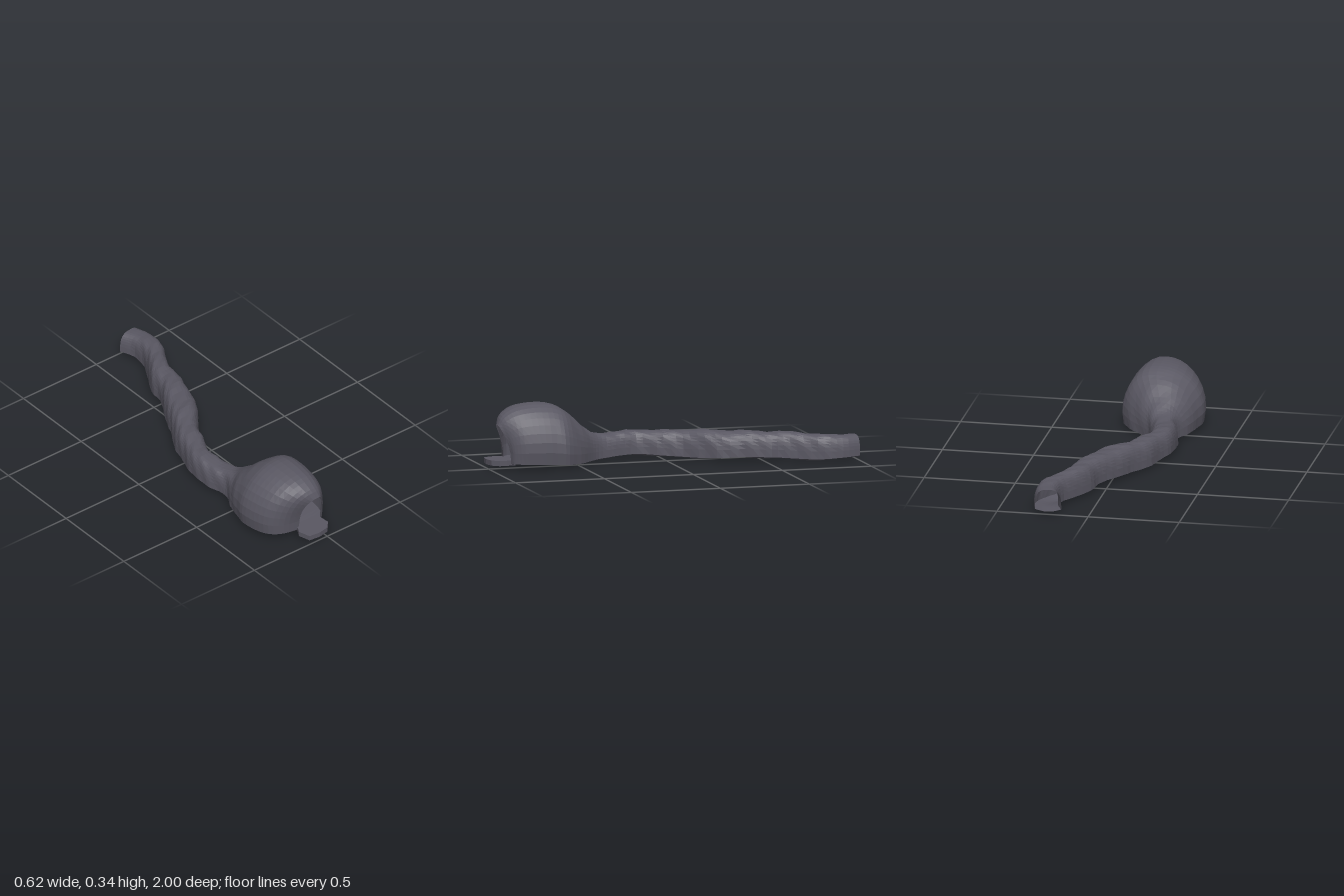
import * as THREE from 'three';

// Stations from the doorway to the tunnel end:
// right edge x, left edge x, z, height of crown, roundness (1 = ellipse, lower = boxier), forward lean of crown
const stations = [
  [-0.105, 0.04, 0.885, 0.235, 0.75, 0.06],
  [-0.2, 0.075, 0.868, 0.285, 0.85, 0.05],
  [-0.275, 0.11, 0.82, 0.325, 0.9, 0.03],
  [-0.31, 0.13, 0.74, 0.34, 0.9, 0.01],
  [-0.32, 0.14, 0.65, 0.335, 0.9, 0],
  [-0.3, 0.138, 0.58, 0.305, 0.9, 0],
  [-0.265, 0.075, 0.5, 0.245, 0.85, 0],
  [-0.225, -0.015, 0.42, 0.175, 0.75, 0],
  [-0.212, -0.06, 0.36, 0.143, 0.65, 0],
  [-0.235, -0.09, 0.28, 0.142, 0.65, 0],
  [-0.245, -0.105, 0.2, 0.145, 0.65, 0],
  [-0.232, -0.1, 0.1, 0.148, 0.65, 0],
  [-0.2, -0.05, 0, 0.148, 0.65, 0],
  [-0.165, -0.01, -0.1, 0.15, 0.65, 0],
  [-0.115, 0.065, -0.2, 0.157, 0.65, 0],
  [-0.07, 0.125, -0.28, 0.155, 0.65, 0],
  [-0.015, 0.155, -0.4, 0.157, 0.65, 0],
  [0.045, 0.195, -0.5, 0.154, 0.65, 0],
  [0.06, 0.2, -0.6, 0.152, 0.65, 0],
  [0.12, 0.25, -0.7, 0.148, 0.65, 0],
  [0.17, 0.3, -0.8, 0.143, 0.65, 0],
  [0.185, 0.315, -0.9, 0.138, 0.65, 0],
  [0.15, 0.292, -0.992, 0.135, 0.65, 0],
];
const STEPS = 66, ARC = 18, FLOOR = 6;

const curveOf = (cols) => new THREE.CatmullRomCurve3(
  stations.map((s) => new THREE.Vector3(...cols.map((c) => s[c]))), false, 'catmullrom', 0.5);
const plan = curveOf([0, 1, 2]), section = curveOf([3, 4, 5]);

// Ground level along the edge, gently uneven
const edgeY = (z) => 0.02 + 0.006 * Math.sin(z * 11) + (z > 0.75 ? (z - 0.75) * 0.08 : 0);

// One arch point: f runs 0..1 from the left foot over the crown to the right foot
function archPoint(u, f) {
  const p = plan.getPoint(u), s = section.getPoint(u);
  const base = edgeY(p.z), a = f * Math.PI;
  const cos = Math.cos(a), rise = Math.pow(Math.max(Math.sin(a), 0), s.y);
  let x = Math.sign(cos) * Math.pow(Math.abs(cos), s.y);
  // The chamber tucks in at its foot and its crown sits a little to the left
  const chamber = THREE.MathUtils.clamp((s.x - 0.16) / 0.17, 0, 1);
  x *= 1 - 0.09 * chamber * Math.pow(1 - rise, 4);
  x += 0.12 * chamber * rise * rise * (1 - x * x);
  // Rocky undulation, fading out at the ends
  const rough = (1 - chamber) * Math.min(1, (1 - u) * 12);
  const bump = 1 + rough * (0.035 * Math.sin(p.z * 31 + f * 5) + 0.025 * Math.sin(p.z * 67 - f * 17));
  const half = (p.y - p.x) / 2;
  return new THREE.Vector3(
    (p.x + p.y) / 2 + half * x * bump,
    base + (s.x - base) * rise * (1 + (bump - 1) * 0.6),
    p.z + s.z * rise * rise - 0.008 * x * THREE.MathUtils.smoothstep(u, 0.95, 1));
}

// Floor point, sagging slightly between the two feet
function floorPoint(u, f) {
  const p = archPoint(u, 0).lerp(archPoint(u, 1), f);
  p.y -= Math.sin(f * Math.PI) * (0.012 + 0.003 * Math.sin(p.z * 23));
  return p;
}

function sheet(pointAt, columns, flip) {
  const pos = [], index = [], row = columns + 1;
  for (let i = 0; i <= STEPS; i++) {
    for (let j = 0; j <= columns; j++) pos.push(...pointAt(i / STEPS, j / columns).toArray());
  }
  for (let i = 0; i < STEPS; i++) {
    for (let j = 0; j < columns; j++) {
      const a = i * row + j, b = a + 1, c = a + row, d = c + 1;
      if (flip) index.push(a, b, c, b, d, c);
      else index.push(a, c, b, b, c, d);
    }
  }
  const g = new THREE.BufferGeometry();
  g.setAttribute('position', new THREE.Float32BufferAttribute(pos, 3));
  g.setIndex(index);
  g.computeVertexNormals();
  return g;
}

export function createModel() {
  const group = new THREE.Group();
  group.name = 'caveWithTunnel';
  const rock = new THREE.MeshStandardMaterial({ color: 0x595762, flatShading: true, side: THREE.DoubleSide });
  const add = (name, geometry) => {
    const mesh = new THREE.Mesh(geometry, rock);
    mesh.name = name;
    group.add(mesh);
  };

  // Domed chamber running into the winding tunnel, open at both ends
  add('chamberAndTunnelShell', sheet(archPoint, ARC, false));
  add('floor', sheet(floorPoint, FLOOR, true));

  // Doorstep slab projecting from the entrance
  const outline = [[-0.1, 0.86], [-0.135, 0.925], [-0.115, 0.992], [-0.05, 1], [0.01, 0.988],
    [0.045, 0.95], [0.042, 0.91], [0.035, 0.86]];
  const step = new THREE.ExtrudeGeometry(
    new THREE.Shape(outline.map(([x, z]) => new THREE.Vector2(x, z))), { depth: 0.028, bevelEnabled: false });
  step.rotateX(Math.PI / 2).translate(0, 0.047, 0);
  add('doorstep', step);

  return group;
}
